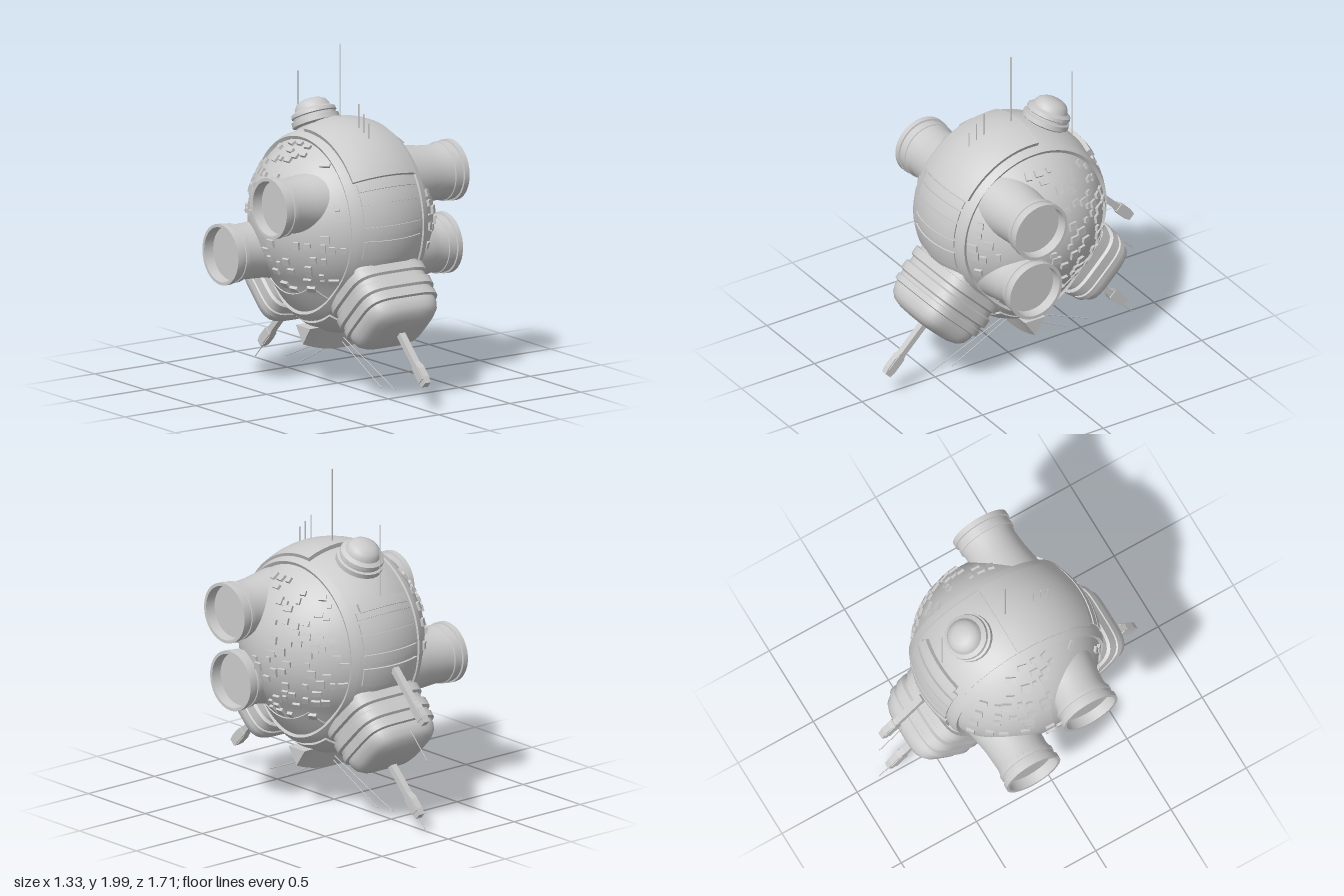
import * as THREE from 'three';
import { toCreasedNormals } from 'three/addons/utils/BufferGeometryUtils.js';

const GREY = new THREE.MeshStandardMaterial({ color: 0xcccccc });
const RAD = Math.PI / 180;
const CY = 1; // height of the hull centre

// Hull radius by elevation: a ball that stretches towards its underside
const hullRadius = (el) => 0.535 + 0.13 * THREE.MathUtils.smoothstep(-el / RAD, 35, 85);

function add(parent, name, geometry) {
  const mesh = new THREE.Mesh(geometry, GREY);
  mesh.name = name;
  parent.add(mesh);
  return mesh;
}

function mapVertices(geometry, rule) {
  const pos = geometry.attributes.position;
  const v = new THREE.Vector3();
  for (let i = 0; i < pos.count; i++) {
    rule(v.fromBufferAttribute(pos, i), i);
    pos.setXYZ(i, v.x, v.y, v.z);
  }
  geometry.computeVertexNormals();
  return geometry;
}

const lathe = (points, segments = 48) =>
  toCreasedNormals(new THREE.LatheGeometry(points.map(([r, y]) => new THREE.Vector2(r, y)), segments), 35 * RAD);

// Raised plate on the hull: t = degrees round the x axis (0 front, 90 top), a = degrees sideways
function plate(parent, name, t0, t1, a0, a1, lift) {
  const nx = 10, ny = Math.max(4, Math.ceil((t1 - t0) / 4)) + 2;
  const g = mapVertices(new THREE.PlaneGeometry(1, 1, nx, ny), (v, i) => {
    const col = i % (nx + 1), row = Math.floor(i / (nx + 1));
    const border = col === 0 || col === nx || row === 0 || row === ny;
    const u = THREE.MathUtils.clamp((col - 1) / (nx - 2), 0, 1);
    const w = THREE.MathUtils.clamp((row - 1) / (ny - 2), 0, 1);
    const a = (a0 + (a1 - a0) * u) * RAD, t = (t1 + (t0 - t1) * w) * RAD;
    v.set(Math.sin(a), Math.cos(a) * Math.sin(t), Math.cos(a) * Math.cos(t));
    v.multiplyScalar(hullRadius(Math.asin(v.y)) + (border ? -0.012 : lift));
  });
  return add(parent, name, toCreasedNormals(g, 35 * RAD));
}

// Thin rod between two points [x, y, z]
function rod(parent, name, from, to, radius = 0.003) {
  const a = new THREE.Vector3(...from), b = new THREE.Vector3(...to);
  const dir = b.clone().sub(a);
  const mesh = add(parent, name, new THREE.CylinderGeometry(radius, radius, dir.length(), 6));
  mesh.position.copy(a).add(b).multiplyScalar(0.5);
  mesh.quaternion.setFromUnitVectors(new THREE.Vector3(0, 1, 0), dir.normalize());
}

// Flat-sided gun barrel along +y with a swollen muzzle
function gun(parent, start, end, z) {
  const m = start + (end - start) * 0.62, n = end - 0.1;
  const half = [[0.018, start], [0.018, m], [0.032, m + 0.05], [0.032, n + 0.06], [0.022, end]];
  const outline = [...half, ...half.slice().reverse().map(([x, y]) => [-x, y])];
  const shape = new THREE.Shape(outline.map(([x, y]) => new THREE.Vector2(x, y)));
  const g = new THREE.ExtrudeGeometry(shape, { depth: 0.04, bevelEnabled: false });
  g.translate(0, 0, -0.02).rotateY(Math.PI / 2);
  add(parent, 'gunBarrel', g).position.z = z;
  add(parent, 'muzzle', new THREE.BoxGeometry(0.052, 0.1, 0.05)).position.set(0, n + 0.02, z);
}

// Ribbed rounded-square pod pointing 45 degrees down; +y runs outwards
function pod(parent, name, turn) {
  const outer = new THREE.Group(), g = new THREE.Group();
  outer.name = name;
  outer.rotation.y = turn;
  g.rotation.x = 135 * RAD;
  outer.add(g);
  parent.add(outer);
  const profile = [[0.92, 0.4], [0.92, 0.5], [1, 0.5], [1, 0.55], [0.94, 0.56], [0.94, 0.59], [1, 0.6], [1, 0.65],
    [0.94, 0.66], [0.94, 0.68], [0.97, 0.685], [0.97, 0.72], [0.9, 0.725], [0.9, 0.75], [0.85, 0.79],
    [0.74, 0.82], [0.55, 0.838], [0.3, 0.845], [0, 0.847]];
  const geo = new THREE.LatheGeometry(profile.map(([r, y]) => new THREE.Vector2(r, y)), 56);
  mapVertices(geo, (v) => {
    const t = Math.atan2(v.z, v.x), n = 4.5;
    const k = (Math.abs(Math.cos(t)) ** n + Math.abs(Math.sin(t)) ** n) ** (-1 / n);
    v.x *= k * 0.26;
    v.z *= k * 0.23;
  });
  add(g, 'podShell', toCreasedNormals(geo, 35 * RAD));
  return g;
}

export function createModel() {
  const model = new THREE.Group();
  model.name = 'sphericalStation';
  const hull = new THREE.Group();
  hull.name = 'hull';
  hull.position.set(0.02, CY, 0);
  model.add(hull);

  add(hull, 'hullShell', mapVertices(new THREE.SphereGeometry(1, 64, 48), (v) => {
    v.normalize();
    v.multiplyScalar(hullRadius(Math.asin(v.y)));
  }));

  // Central band running over the hull, with rails, panels and belly plates
  plate(hull, 'upperPanel', 34, 96, -23, 23, 0.035);
  plate(hull, 'centralBand', -180, 180, -24, 24, 0.01);
  for (const s of [-1, 1]) plate(hull, 'bandRail', -180, 180, s * 26.5 - 2.5, s * 26.5 + 2.5, 0.022);
  const panels = [[27, 32], [18, 25], [6, 16.5], [-1, 4], [-17, -5]];
  for (const [a, b] of panels) {
    plate(hull, 'frontPanel', a, b, -21, 21, 0.019);
    plate(hull, 'rearPanel', 180 - b, 180 - a, -21, 21, 0.024);
  }
  plate(hull, 'rearVent', 143, 149, -18, 18, 0.035);
  plate(hull, 'bellyPlate', -122, -58, -42, 42, 0.006);
  plate(hull, 'bellyBand', -112, -68, -22, 22, 0.022);

  // Four side thrusters: side, reach, y, z
  const thrusters = [[1, 0.64, 0.215, 0.2], [1, 0.59, -0.205, 0.205], [-1, 0.64, 0.15, 0.19], [-1, 0.69, -0.19, -0.22]];
  for (const [side, reach, y, z] of thrusters) {
    const e = reach;
    const t = add(hull, 'thruster', lathe([[0.2, 0.22], [0.183, 0.32], [0.167, 0.42], [0.16, e - 0.13],
      [0.166, e - 0.09], [0.172, e - 0.088], [0.172, e - 0.065], [0.166, e - 0.063], [0.168, e - 0.035],
      [0.178, e - 0.033], [0.178, e], [0.16, e], [0.155, e - 0.06], [0, e - 0.06]]));
    t.rotation.z = -side * Math.PI / 2;
    t.position.set(0, y, z);
  }

  // Small armour tiles scattered in rows over both flanks
  let seed = 7;
  const rnd = () => (seed = (seed * 16807) % 2147483647) / 2147483647;
  const tiles = new THREE.Group();
  tiles.name = 'armourTiles';
  hull.add(tiles);
  for (let el = -42; el <= 62; el += 6.5) {
    const step = 7 / Math.cos(el * RAD);
    for (let az = 0; az < 360; az += step) {
      const e = (el + (rnd() - 0.5) * 4) * RAD, a = (az + (rnd() - 0.5) * 4) * RAD;
      const w = 0.025 + rnd() * 0.035, h = 0.025 + rnd() * 0.025, keep = rnd() < 0.55;
      const d = new THREE.Vector3(Math.sin(a) * Math.cos(e), Math.sin(e), Math.cos(a) * Math.cos(e));
      const p = d.clone().multiplyScalar(hullRadius(e));
      const blocked = thrusters.some(([s, , y, z]) => s * p.x > 0 && Math.hypot(p.y - y, p.z - z) < 0.21);
      if (!keep || blocked || Math.abs(d.x) < 0.53) continue;
      const tile = add(tiles, 'tile', new THREE.BoxGeometry(w, h, 0.03));
      tile.position.copy(p);
      tile.rotation.set(-e, a, 0, 'YXZ');
    }
  }

  // Gun pods front and rear
  const front = pod(hull, 'frontPod', 0);
  gun(front, 0.8, 1.2, 0);
  const rear = pod(hull, 'rearPod', Math.PI);
  gun(rear, 0.78, 1.19, 0.09);
  gun(rear, 0.44, 0.82, -0.342);
  rod(rear, 'podAntenna', [0, 0.8, 0.106], [0, 1.295, 0.106]);
  rod(rear, 'podAntenna', [0, 0.78, -0.2], [0, 0.99, -0.2]);

  // Domed turret on the upper rear
  const turret = add(hull, 'domeTurret', lathe([[0.12, 0.48], [0.12, 0.535], [0.14, 0.545], [0.14, 0.575], [0.125, 0.58],
    [0.125, 0.592], [0.133, 0.597], [0.13, 0.618], [0.105, 0.632], [0.1, 0.65], [0.085, 0.672], [0.055, 0.688], [0, 0.694]], 24));
  turret.rotation.x = -26 * RAD;

  // Keel: a wedge with a curved lower edge
  const section = new THREE.Shape([[-0.07, 0], [0, -1], [0.07, 0]].map(([x, y]) => new THREE.Vector2(x, y)));
  const keelGeo = new THREE.ExtrudeGeometry(section, { depth: 0.53, steps: 16, bevelEnabled: false });
  keelGeo.translate(0, 0, -0.265).rotateY(Math.PI / 2);
  mapVertices(keelGeo, (v) => {
    const q = (v.x / 0.265) ** 2;
    v.y = v.y < -0.5 ? -0.787 + 0.055 * q : -0.63;
  });
  add(hull, 'keel', keelGeo);

  // Masts and whisker antennas
  for (const [z, y0, y1] of [[-0.005, 0.5, 1], [-0.425, 0.3, 0.765], [0.18, 0.5, 0.68], [0.23, 0.48, 0.63], [0.28, 0.46, 0.585]])
    rod(hull, 'mast', [0, y0, z], [0, y1, z], 0.004);
  for (const s of [-1, 1]) {
    rod(hull, 'whisker', [0, -0.71, 0], [0, -0.935, s * 0.54]);
    rod(hull, 'whisker', [0, -0.74, 0], [0, -0.945, s * 0.4]);
  }
  return model;
}
